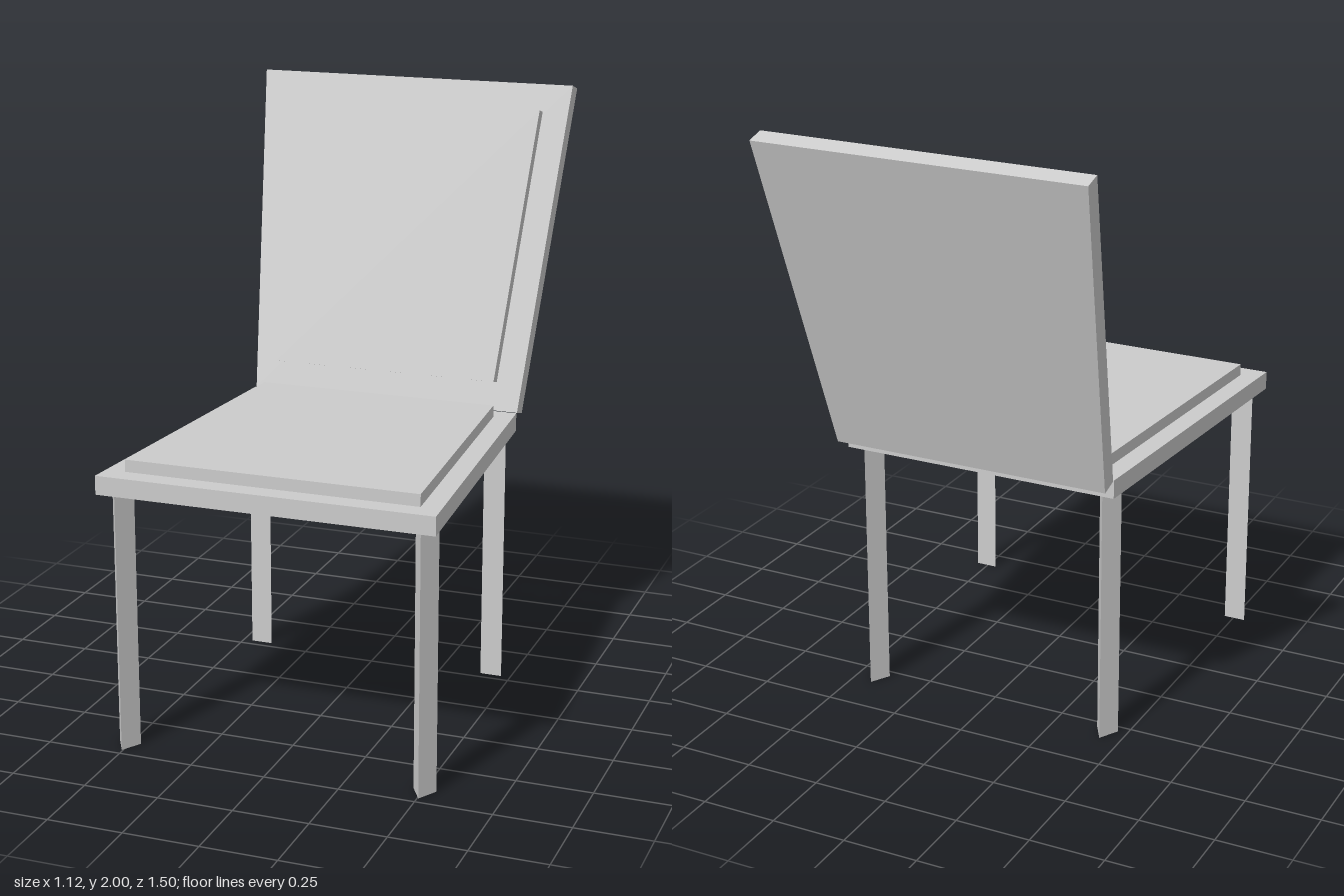
import * as THREE from 'three';

const material = new THREE.MeshStandardMaterial({ color: 0xcccccc, flatShading: true });

// Trapezoid board: half widths at its start and end, extruded to a thickness
function board(name, startHalf, endHalf, length, thickness, tilt, y, z) {
  const shape = new THREE.Shape([
    new THREE.Vector2(-startHalf, 0),
    new THREE.Vector2(startHalf, 0),
    new THREE.Vector2(endHalf, length),
    new THREE.Vector2(-endHalf, length),
  ]);
  const geometry = new THREE.ExtrudeGeometry(shape, { depth: thickness, bevelEnabled: false });
  const mesh = new THREE.Mesh(geometry, material);
  mesh.name = name;
  mesh.rotation.x = tilt;
  mesh.position.set(0, y, z);
  return mesh;
}

// Three-sided leg, its sharp edge facing +z unless turned
function leg(name, x, z, turn) {
  const height = 0.866;
  const mesh = new THREE.Mesh(new THREE.CylinderGeometry(0.0433, 0.0433, height, 3), material);
  mesh.name = name;
  mesh.position.set(x, height / 2, z);
  mesh.rotation.y = turn;
  return mesh;
}

export function createModel() {
  const chair = new THREE.Group();
  chair.name = 'chair';

  // Seat and its cushion, narrowing towards the back
  const flat = -Math.PI / 2;
  chair.add(board('seat', 0.558, 0.478, 1.112, 0.062, flat, 0.868, 0.747));
  chair.add(board('seatCushion', 0.487, 0.417, 0.975, 0.04, flat, 0.93, 0.678));

  // Reclined backrest and its cushion, widening towards the top
  const recline = -0.288;
  chair.add(board('backrest', 0.478, 0.558, 1.118, 0.062, recline, 0.912, -0.431));
  chair.add(board('backCushion', 0.397, 0.463, 0.927, 0.04, recline, 1.023, -0.397));

  // Legs
  for (const [side, s] of [['Left', 1], ['Right', -1]]) {
    chair.add(leg(`front${side}Leg`, s * 0.504, 0.682, 0));
    chair.add(leg(`back${side}Leg`, s * 0.43, -0.302, Math.PI));
  }
  return chair;
}
